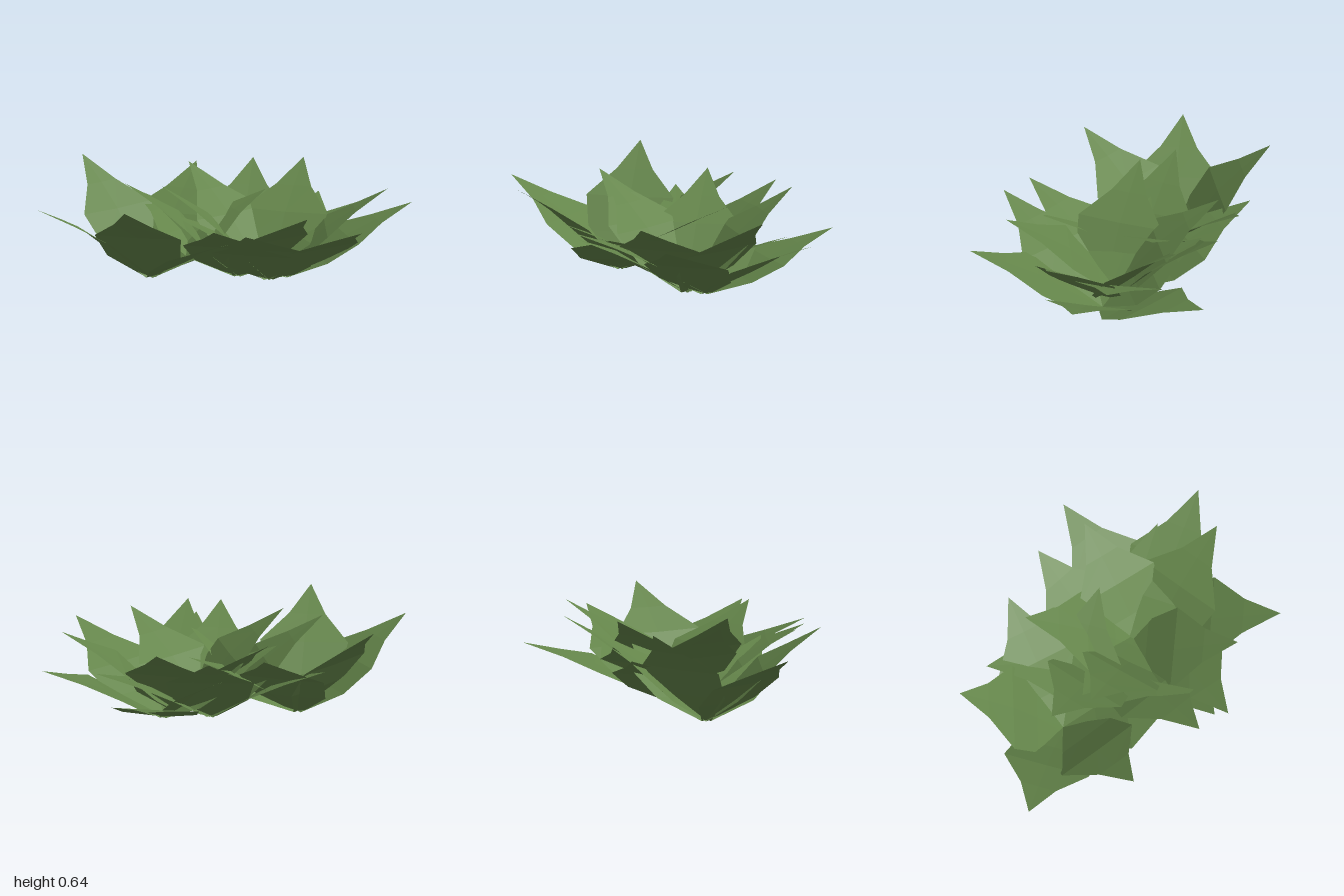
import * as THREE from 'three';

// Leaf cross-sections: [share of length, half width, midrib height share, edge height share]
const ROWS = [
  [0, 0.035, 0, 0],
  [0.25, 0.225, 0.28, 0.29],
  [0.48, 0.265, 0.57, 0.58],
  [0.72, 0.11, 0.78, 0.785],
  [1, 0, 1, 1],
];

// Each plant: base position [x, z] and leaf tips [x, z, height]
const PLANTS = [
  { name: 'frontPlant', base: [-0.36, 0.30], tips: [
    [-0.62, 1.00, 0.49], [0.02, 0.88, 0.56], [-0.98, 0.27, 0.64],
    [-0.64, -0.35, 0.55], [-0.09, -0.40, 0.47], [0.43, 0.25, 0.36]] },
  { name: 'middlePlant', base: [-0.02, -0.10], tips: [
    [0.71, 0.02, 0.50], [0.44, 0.54, 0.46], [-0.44, 0.44, 0.59],
    [-0.80, 0.03, 0.42], [-0.44, -0.63, 0.56], [0.29, -0.81, 0.39]] },
  { name: 'innerPlant', base: [0.17, -0.17], tips: [
    [-0.15, -0.77, 0.59], [0.64, -0.71, 0.55], [-0.20, 0.36, 0.60],
    [-0.55, -0.20, 0.59], [0.54, 0.43, 0.39]] },
  { name: 'backPlant', base: [0.19, -0.29], tips: [
    [0.98, -0.17, 0.43], [0.62, 0.45, 0.45], [-0.24, 0.25, 0.40],
    [-0.42, -0.30, 0.40], [-0.26, -1.00, 0.32], [0.55, -1.00, 0.40]] },
];

// A pointed, very slightly folded leaf running from the plant base to its tip
function leafGeometry([bx, bz], [tx, tz, height]) {
  const dx = tx - bx, dz = tz - bz, length = Math.hypot(dx, dz);
  const px = dz / length, pz = -dx / length;
  const positions = [], index = [];
  ROWS.forEach(([t, half, mid, edge], r) => {
    for (const side of [-1, 0, 1]) {
      positions.push(
        bx + dx * t + px * half * side,
        height * (side ? edge : mid),
        bz + dz * t + pz * half * side);
    }
    if (r === ROWS.length - 1) return;
    for (let c = 0; c < 2; c++) {
      const a = r * 3 + c, b = a + 1, d = a + 3, e = a + 4;
      // The last row meets in a point, so each half needs one triangle there
      index.push(a, b, d);
      if (r < ROWS.length - 2) index.push(b, e, d);
    }
  });
  const geometry = new THREE.BufferGeometry();
  geometry.setAttribute('position', new THREE.Float32BufferAttribute(positions, 3));
  geometry.setIndex(index);
  const flat = geometry.toNonIndexed();
  flat.computeVertexNormals();
  return flat;
}

export function createModel() {
  const model = new THREE.Group();
  model.name = 'leafyPlants';
  const leafGreen = new THREE.MeshStandardMaterial({ color: 0x64854a, side: THREE.DoubleSide, flatShading: true });
  leafGreen.name = 'leafGreen';

  for (const { name, base, tips } of PLANTS) {
    const plant = new THREE.Group();
    plant.name = name;
    for (const tip of tips) {
      const leaf = new THREE.Mesh(leafGeometry(base, tip), leafGreen);
      leaf.name = 'leaf';
      plant.add(leaf);
    }
    model.add(plant);
  }
  return model;
}
